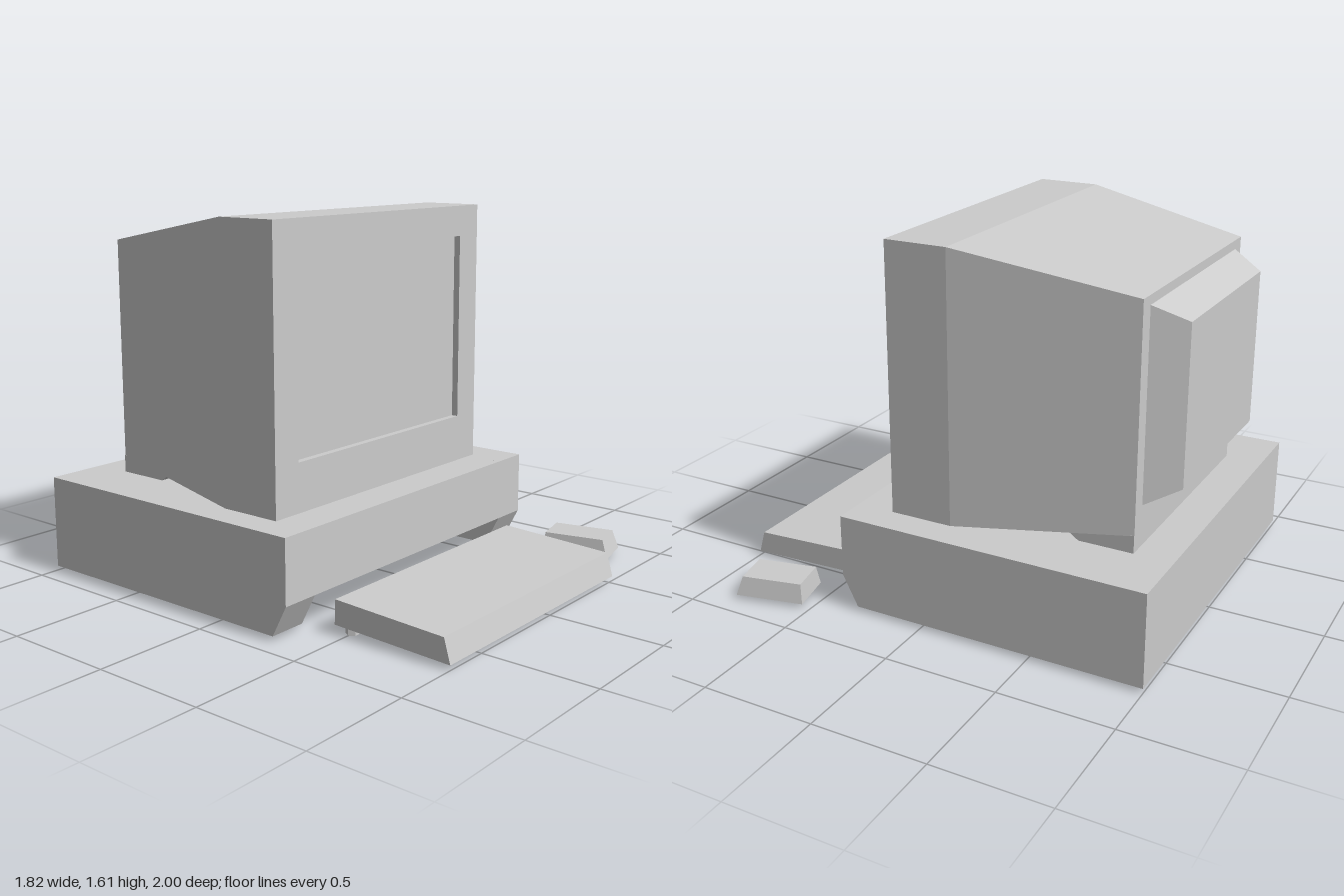
import * as THREE from 'three';

const grey = new THREE.MeshStandardMaterial({ color: 0xcccccc, flatShading: true });

function part(name, geometry) {
  const mesh = new THREE.Mesh(geometry, grey);
  mesh.name = name;
  return mesh;
}

// Side profile of [z, y] points, extruded from x0 to x1
function sideExtrude(profile, x0, x1) {
  const shape = new THREE.Shape(profile.map(([z, y]) => new THREE.Vector2(-z, y)));
  return new THREE.ExtrudeGeometry(shape, { depth: x1 - x0, bevelEnabled: false })
    .rotateY(Math.PI / 2)
    .translate(x0, 0, 0);
}

// Closed solid through rectangles [z, x0, x1, y0, y1], listed from front to back
function loft(sections) {
  const rings = sections.map(([z, x0, x1, y0, y1]) =>
    [[x0, y0, z], [x1, y0, z], [x1, y1, z], [x0, y1, z]]);
  const positions = [];
  const quad = (a, b, c, d) => positions.push(...a, ...b, ...c, ...a, ...c, ...d);
  quad(...rings[0]);
  for (let i = 0; i < rings.length - 1; i++) {
    const a = rings[i], b = rings[i + 1];
    for (let j = 0; j < 4; j++) {
      const k = (j + 1) % 4;
      quad(a[j], b[j], b[k], a[k]);
    }
  }
  quad(...[...rings[rings.length - 1]].reverse());
  const geometry = new THREE.BufferGeometry();
  geometry.setAttribute('position', new THREE.Float32BufferAttribute(positions, 3));
  geometry.computeVertexNormals();
  return geometry;
}

function rectangle(PathType, x0, x1, y0, y1) {
  return new PathType([[x0, y0], [x1, y0], [x1, y1], [x0, y1]]
    .map(([x, y]) => new THREE.Vector2(x, y)));
}

// Computer case with a keyboard recess under its front edge
function createCase() {
  const group = new THREE.Group();
  group.name = 'computerCase';
  const side = [[-1, 0.02], [0.31, 0.02], [0.38, 0.155], [0.38, 0.43], [-1, 0.43]];
  const middle = [[-1, 0.02], [-0.17, 0.02], [-0.17, 0.155], [0.38, 0.155], [0.38, 0.43], [-1, 0.43]];
  group.add(
    part('caseRightSide', sideExtrude(side, -0.91, -0.74)),
    part('caseMiddle', sideExtrude(middle, -0.74, 0.57)),
    part('caseLeftSide', sideExtrude(side, 0.57, 0.74)),
  );
  return group;
}

function createMonitor() {
  const group = new THREE.Group();
  group.name = 'monitor';

  // Front frame around the sunken screen
  const frame = rectangle(THREE.Shape, -0.775, 0.6, 0.43, 1.605);
  frame.holes.push(rectangle(THREE.Path, -0.64, 0.465, 0.64, 1.47));
  const bezel = new THREE.ExtrudeGeometry(frame, { depth: 0.03, bevelEnabled: false });
  group.add(part('screenBezel', bezel.translate(0, 0, 0.18)));

  // Shell whose front cap is the screen, tapering to the back
  group.add(part('monitorBody', loft([
    [0.18, -0.775, 0.6, 0.43, 1.605],
    [-0.07, -0.775, 0.6, 0.43, 1.605],
    [-0.83, -0.64, 0.465, 0.505, 1.47],
  ])));
  group.add(part('rearHousing', loft([
    [-0.83, -0.57, 0.395, 0.61, 1.43],
    [-0.97, -0.5, 0.325, 0.68, 1.365],
  ])));

  // Rear foot holding up the sloping underside
  const foot = [[-0.83, 0.43], [-0.59, 0.43], [-0.52, 0.477], [-0.83, 0.507]];
  group.add(part('monitorFoot', sideExtrude(foot, -0.643, 0.468)));
  return group;
}

function createKeyboard() {
  const group = new THREE.Group();
  group.name = 'keyboard';
  const profile = [[1, 0.02], [0.97, 0.122], [0.452, 0.145], [0.45, 0.04]];
  group.add(part('keyboardBody', sideExtrude(profile, -0.705, 0.53)));
  for (const x of [-0.655, 0.483]) {
    const foot = part('keyboardFoot', new THREE.CylinderGeometry(0.028, 0.028, 0.045, 6).rotateY(Math.PI / 2));
    foot.position.set(x, 0.0225, 0.5);
    group.add(foot);
  }
  return group;
}

// Wedge-sided mouse, turned slightly on the desk
function createMouse() {
  const mouse = part('mouse', loft([
    [0.085, -0.083, 0.083, -0.127, 0.143],
    [0, -0.1, 0.1, -0.154, 0.154],
  ]).rotateX(-Math.PI / 2));
  mouse.position.set(0.775, 0.02, 0.703);
  mouse.rotation.y = 0.22;
  return mouse;
}

export function createModel() {
  const model = new THREE.Group();
  model.name = 'desktopComputer';
  model.add(createCase(), createMonitor(), createKeyboard(), createMouse());
  return model;
}
